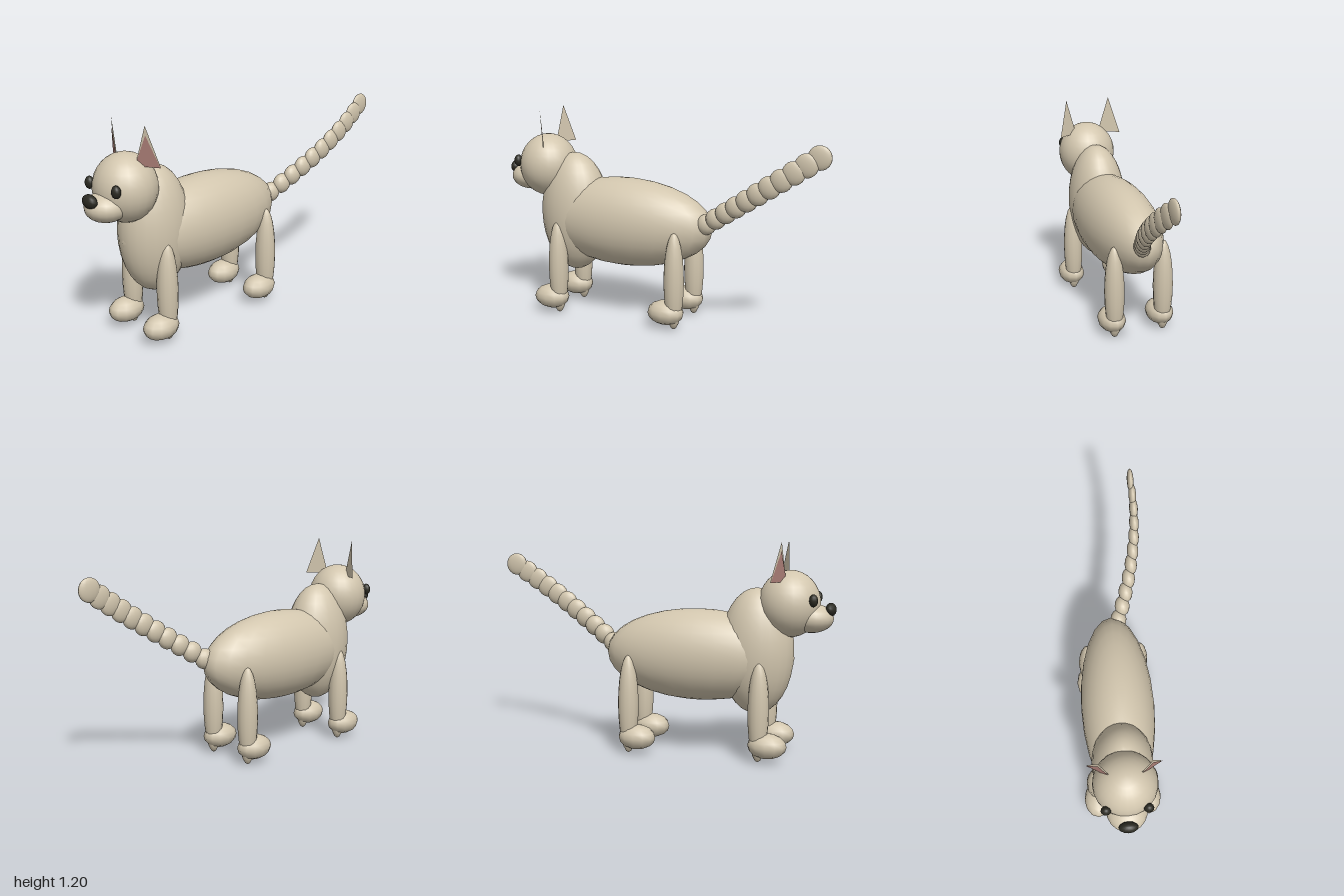
import * as THREE from 'three';

export function createModel() {
  const model = new THREE.Group();
  model.name = 'cat';

  const mat = (name, color, side = THREE.FrontSide) => {
    const m = new THREE.MeshStandardMaterial({ color, side });
    m.name = name;
    return m;
  };
  const fur = mat('beige fur', 0xd2c6ae, THREE.DoubleSide);
  const pink = mat('inner ear pink', 0xb0827a);
  const dark = mat('dark eyes and nose', 0x2b2a22);

  // Smooth ellipsoid from centre and radii
  const ellipsoid = (name, material, centre, radii, w = 24, h = 16) => {
    const mesh = new THREE.Mesh(new THREE.SphereGeometry(1, w, h), material);
    mesh.name = name;
    mesh.position.set(...centre);
    mesh.scale.set(...radii);
    model.add(mesh);
    return mesh;
  };

  // Flat triangle, corners counter-clockwise from its front
  const triangle = (name, material, corners) => {
    const geo = new THREE.BufferGeometry();
    geo.setAttribute('position', new THREE.Float32BufferAttribute(corners.flat(), 3));
    geo.computeVertexNormals();
    const mesh = new THREE.Mesh(geo, material);
    mesh.name = name;
    model.add(mesh);
  };

  // Trunk and head
  ellipsoid('body', fur, [0, 0.56, 0.24], [0.207, 0.258, 0.54]);
  ellipsoid('chest', fur, [0, 0.592, 0.57], [0.171, 0.352, 0.208]);
  ellipsoid('head', fur, [0, 0.86, 0.747], [0.172, 0.184, 0.17]);
  ellipsoid('muzzle', fur, [0, 0.785, 0.867], [0.11, 0.08, 0.12], 20, 14);
  ellipsoid('nose', dark, [0, 0.834, 0.97], [0.052, 0.037, 0.03], 12, 10);

  for (const [side, s] of [['left', 1], ['right', -1]]) {
    ellipsoid(side + 'Eye', dark, [s * 0.11, 0.89, 0.888], [0.027, 0.034, 0.024], 12, 10);

    // Ear: thin shell turned outward, with a shorter pink lining in front
    const outer = [s * 0.192, 0.985, 0.668];
    const inner = [s * 0.072, 0.985, 0.735];
    const ear = (name, material, tip, push) => {
      const corners = [inner, outer, tip].map(([x, y, z]) => [x + s * push * 0.5, y, z + push]);
      triangle(name, material, s > 0 ? corners : [corners[1], corners[0], corners[2]]);
    };
    ear(side + 'Ear', fur, [s * 0.135, 1.2, 0.718], 0);
    ear(side + 'EarLining', pink, [s * 0.135, 1.15, 0.714], 0.004);

    // Legs and feet
    for (const [end, z] of [['Front', 0.61], ['Back', -0.13]]) {
      ellipsoid(side + end + 'Leg', fur, [s * 0.149, 0.28, z], [0.058, 0.28, 0.058], 14, 12);
      ellipsoid(side + end + 'Foot', fur, [s * 0.149, 0.094, z + 0.05], [0.079, 0.07, 0.108], 12, 8);
    }
  }

  // Tail: chain of overlapping flattened beads curving to the left
  const beads = 11;
  for (let i = 0; i < beads; i++) {
    const t = i / (beads - 1);
    const x = 0.165 * Math.sin(0.26 + 1.66 * t);
    const r = 0.058 + 0.007 * t;
    ellipsoid('tailBead' + (i + 1), fur,
      [x, 0.6 + 0.436 * t, -0.28 - 0.655 * t],
      [0.046 - 0.027 * t, r, r], 14, 12);
  }
  return model;
}
